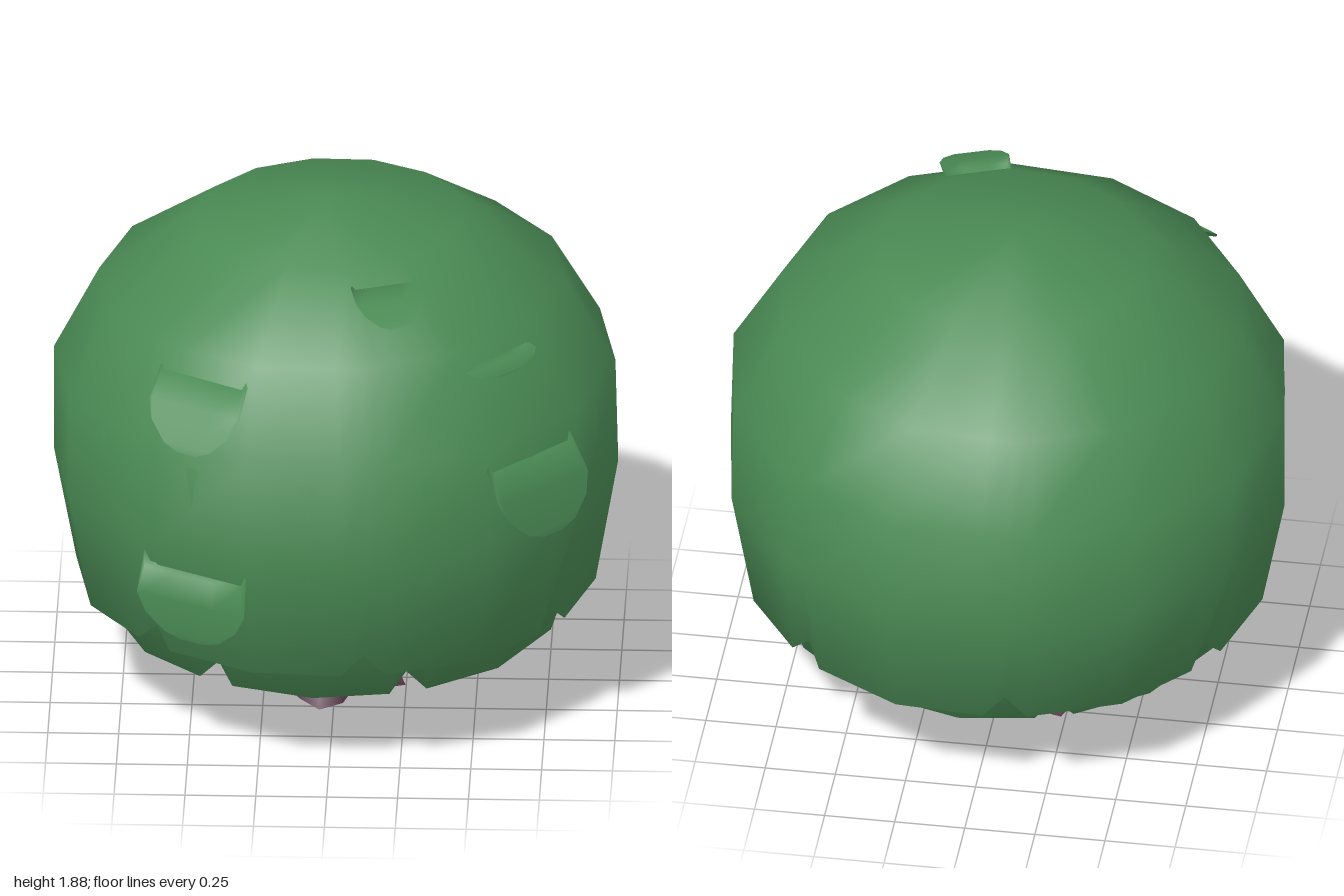
import * as THREE from 'three';

const leafMat = new THREE.MeshStandardMaterial({ color: 0x4a8a54, side: THREE.DoubleSide });
const barkMat = new THREE.MeshStandardMaterial({ color: 0x5f4051, side: THREE.DoubleSide });
const SIDES = 14, STEP = (Math.PI * 2) / SIDES, DEG = Math.PI / 180;

// Surface through rings of equal point count, closed by 'tip' above the first ring if given
function loft(rings, tip) {
  const n = rings[0].length, pos = rings.flat(2), idx = [];
  for (let r = 0; r < rings.length - 1; r++) {
    for (let i = 0; i < n; i++) {
      const a = r * n + i, b = r * n + (i + 1) % n;
      idx.push(a, a + n, b, b, a + n, b + n);
    }
  }
  if (tip) {
    pos.push(...tip);
    for (let i = 0; i < n; i++) idx.push(rings.length * n, i, (i + 1) % n);
  }
  const g = new THREE.BufferGeometry();
  g.setAttribute('position', new THREE.Float32BufferAttribute(pos, 3));
  g.setIndex(idx);
  g.computeVertexNormals();
  return g;
}

// Faceted open dome with small notches in its rim at some corners
function dome({ profile, offset, tilt, rimTilt, lean, tip }) {
  const cols = [];
  for (let k = 0; k < SIDES; k++) {
    const a = k * STEP;
    if ([0, 2, 5].includes(k % 7)) cols.push([a - 6 * DEG, 0], [a - 1 * DEG, 1], [a + 4 * DEG, 0]);
    else cols.push([a, 0]);
  }
  const rings = profile.map(([r, y], j) => cols.map(([a, notch]) => {
    // upper corners stay sharp, extra points lie on the straight side between two corners
    const isRim = j === profile.length - 1;
    const rim = isRim ? notch : 0;
    const angle = notch && !isRim ? a + 1 * DEG : a;
    const t = (angle + STEP) % STEP;
    const rr = r * Math.cos(STEP / 2) / Math.cos(t - STEP / 2) - rim * 0.03;
    const x = rr * Math.sin(angle + offset), z = rr * Math.cos(angle + offset);
    const [tx, tz] = isRim ? rimTilt : tilt;
    const up = Math.max(0, y - 1.1);
    return [x + lean[0] * up, y + rim * 0.07 + tx * x + tz * z, z + lean[1] * up];
  }));
  const g = loft(rings, tip);
  // round, even shading over the facets
  const p = g.attributes.position, v = new THREE.Vector3();
  for (let i = 0; i < p.count; i++) {
    v.fromBufferAttribute(p, i);
    v.y -= 0.9;
    v.normalize();
    g.attributes.normal.setXYZ(i, v.x, v.y, v.z);
  }
  return g;
}

// Tongue-shaped leaf from p to tip q, half width w; its top folds back into the canopy
function leafFlap(p, q, w) {
  const P = new THREE.Vector3(...p), up = P.clone().sub(new THREE.Vector3(...q));
  const L = up.length();
  up.normalize();
  const side = new THREE.Vector3(p[2], 0, -p[0]).normalize();
  const out = side.clone().cross(up).normalize();
  const across = [-1, -0.93, -0.4, 0, 0.4, 0.93, 1];
  // height, width and depth of each row
  const rows = [[0.05, 0.93, -0.07], [0, 0.95, 0], [-0.4, 1, 0.01], [-0.68, 0.84, 0.01], [-0.92, 0.5, 0.005], [-1, 0.2, 0]];
  const g = new THREE.PlaneGeometry(2, 1, 6, 5), pos = g.attributes.position;
  rows.forEach(([h, wide, depth], j) => across.forEach((u, i) => {
    const horn = j < 2 && Math.abs(u) === 1 ? 0.06 : 0;
    pos.setXYZ(j * 7 + i, u * wide * w, h * L + horn, depth - horn * 0.4);
  }));
  g.applyMatrix4(new THREE.Matrix4().makeBasis(side, up, out).setPosition(P));
  g.computeVertexNormals();
  return g;
}

export function createModel() {
  const model = new THREE.Group();
  const add = (name, geometry, material) => {
    const m = new THREE.Mesh(geometry, material);
    m.name = name;
    model.add(m);
  };

  // Outer and inner layers of foliage
  add('outerCanopy', dome({
    profile: [[0.48, 1.8], [0.825, 1.57], [0.995, 1.26], [1.0, 0.87], [0.92, 0.425]],
    offset: 9 * DEG, tilt: [0.02, 0.01], rimTilt: [0, 0], lean: [-0.03, 0], tip: [-0.03, 1.88, 0],
  }), leafMat);
  add('innerCanopy', dome({
    profile: [[0.47, 1.765], [0.82, 1.525], [0.975, 1.2], [0.965, 0.8], [0.8, 0.31]],
    offset: -29.7 * DEG, tilt: [0, -0.01], rimTilt: [0, -0.025], lean: [-0.02, 0.03], tip: [-0.03, 1.845, 0.02],
  }), leafMat);

  // Loose leaves standing off the canopy
  [
    [[-0.45, 1.5, 0.74], [-0.5, 1.29, 0.92], 0.19],
    [[-0.48, 0.78, 0.86], [-0.48, 0.53, 0.86], 0.22],
    [[0.72, 1.18, 0.68], [0.79, 0.9, 0.7], 0.22],
    [[0.58, 1.535, 0.575], [0.63, 1.48, 0.62], 0.165],
    [[0.19, 1.77, 0.52], [0.24, 1.69, 0.71], 0.125],
  ].forEach(([p, q, w]) => add('leafFlap', leafFlap(p, q, w), leafMat));

  // Short open trunk flaring into five roots
  const n = 20;
  const trunk = [[0.32, 0.215, 0], [0.22, 0.205, 0.005], [0.12, 0.21, 0.02], [0.07, 0.235, 0.04], [0, 0.25, 0.065]]
    .map(([y, r, lobe]) => Array.from({ length: n }, (_, i) => {
      const a = (i / n) * Math.PI * 2, rr = r + lobe * Math.cos(5 * (a - 75 * DEG));
      return [-0.05 + rr * Math.sin(a), y, -0.035 + rr * Math.cos(a)];
    }));
  add('trunk', loft(trunk), barkMat);
  return model;
}
